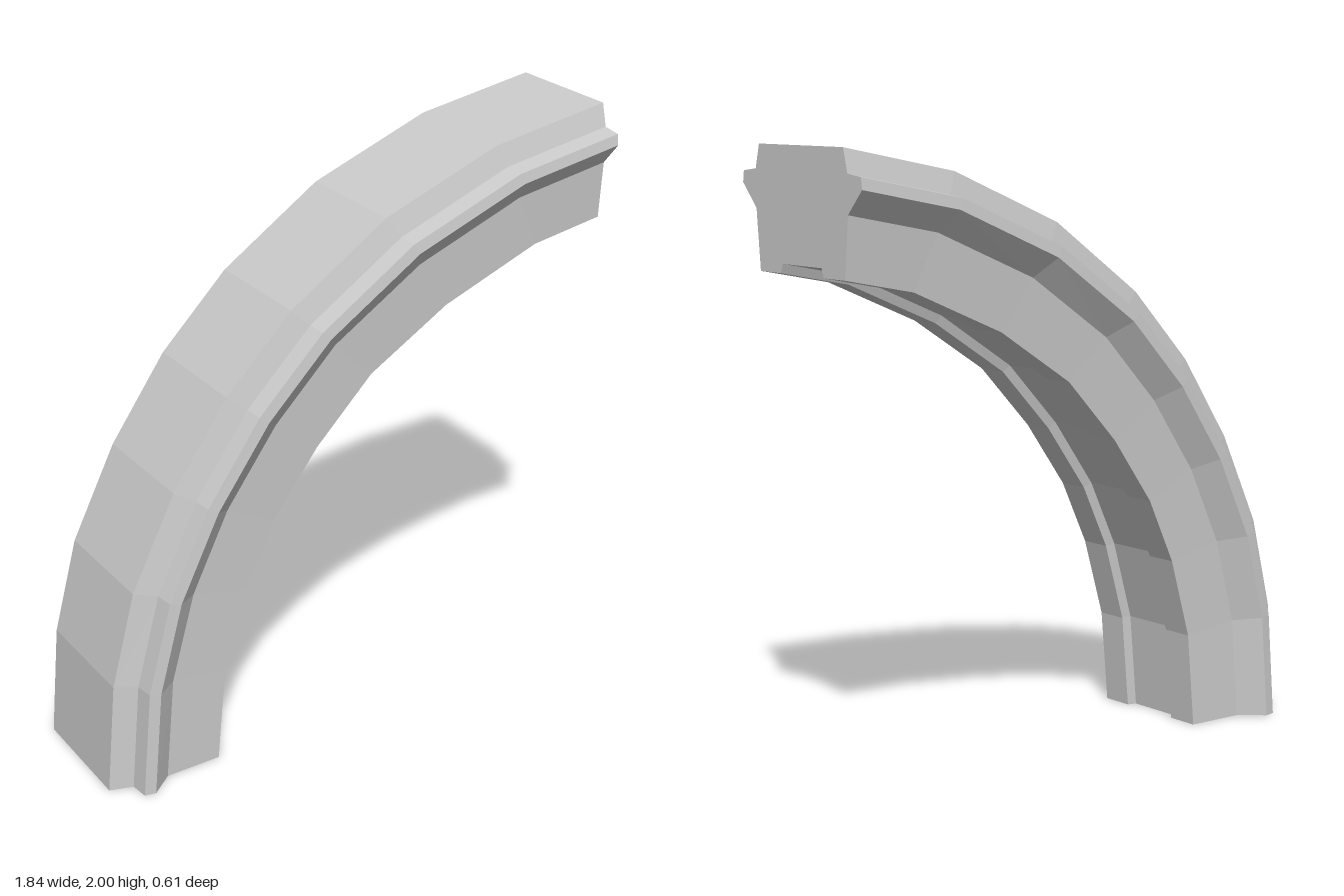
import * as THREE from 'three';

// Matching stations along the outer and inner edges of the arch [x, y]
const OUTER = [[-0.92, 0], [-0.89, 0.37], [-0.81, 0.68], [-0.66, 0.99], [-0.47, 1.27],
  [-0.24, 1.51], [0.10, 1.75], [0.51, 1.92], [0.92, 2.0]];
const INNER = [[-0.525, 0], [-0.495, 0.32], [-0.415, 0.59], [-0.31, 0.81], [-0.15, 1.03],
  [0.05, 1.24], [0.33, 1.42], [0.67, 1.565], [0.92, 1.615]];

// Half of the moulding: [depth from outer (0) to inner (1), half width]
const HALF = [[0, 0.215], [0.195, 0.235], [0.215, 0.3], [0.31, 0.305],
  [0.505, 0.235], [1, 0.218], [1, 0.11], [0.925, 0.1]];
const PROFILE = [...HALF, ...HALF.slice().reverse().map(([t, z]) => [t, -z])];

function archGeometry() {
  const positions = [];
  const point = (i, j) => {
    const [t, z] = PROFILE[j % PROFILE.length];
    const [ax, ay] = OUTER[i], [bx, by] = INNER[i];
    return [ax + (bx - ax) * t, ay + (by - ay) * t, z];
  };
  const triangle = (a, b, c) => positions.push(...a, ...b, ...c);

  // Moulded skin
  const last = OUTER.length - 1;
  for (let i = 0; i < last; i++) {
    for (let j = 0; j < PROFILE.length; j++) {
      const a = point(i, j), b = point(i, j + 1);
      const c = point(i + 1, j + 1), d = point(i + 1, j);
      triangle(a, b, c);
      triangle(a, c, d);
    }
  }

  // Flat ends: the foot faces down, the crown faces sideways
  const contour = PROFILE.map(([t, z]) => new THREE.Vector2(t, z));
  for (const face of THREE.ShapeUtils.triangulateShape(contour, [])) {
    const clockwise = THREE.ShapeUtils.isClockWise(face.map((k) => contour[k]));
    const [a, b, c] = clockwise ? face : [face[0], face[2], face[1]];
    triangle(point(last, a), point(last, b), point(last, c));
    triangle(point(0, a), point(0, c), point(0, b));
  }

  const geometry = new THREE.BufferGeometry();
  geometry.setAttribute('position', new THREE.Float32BufferAttribute(positions, 3));
  geometry.computeVertexNormals();
  return geometry;
}

export function createModel() {
  const group = new THREE.Group();
  group.name = 'halfArch';
  const material = new THREE.MeshStandardMaterial({ color: 0xcccccc, flatShading: true });
  const arch = new THREE.Mesh(archGeometry(), material);
  arch.name = 'mouldedArchRib';
  group.add(arch);
  return group;
}
